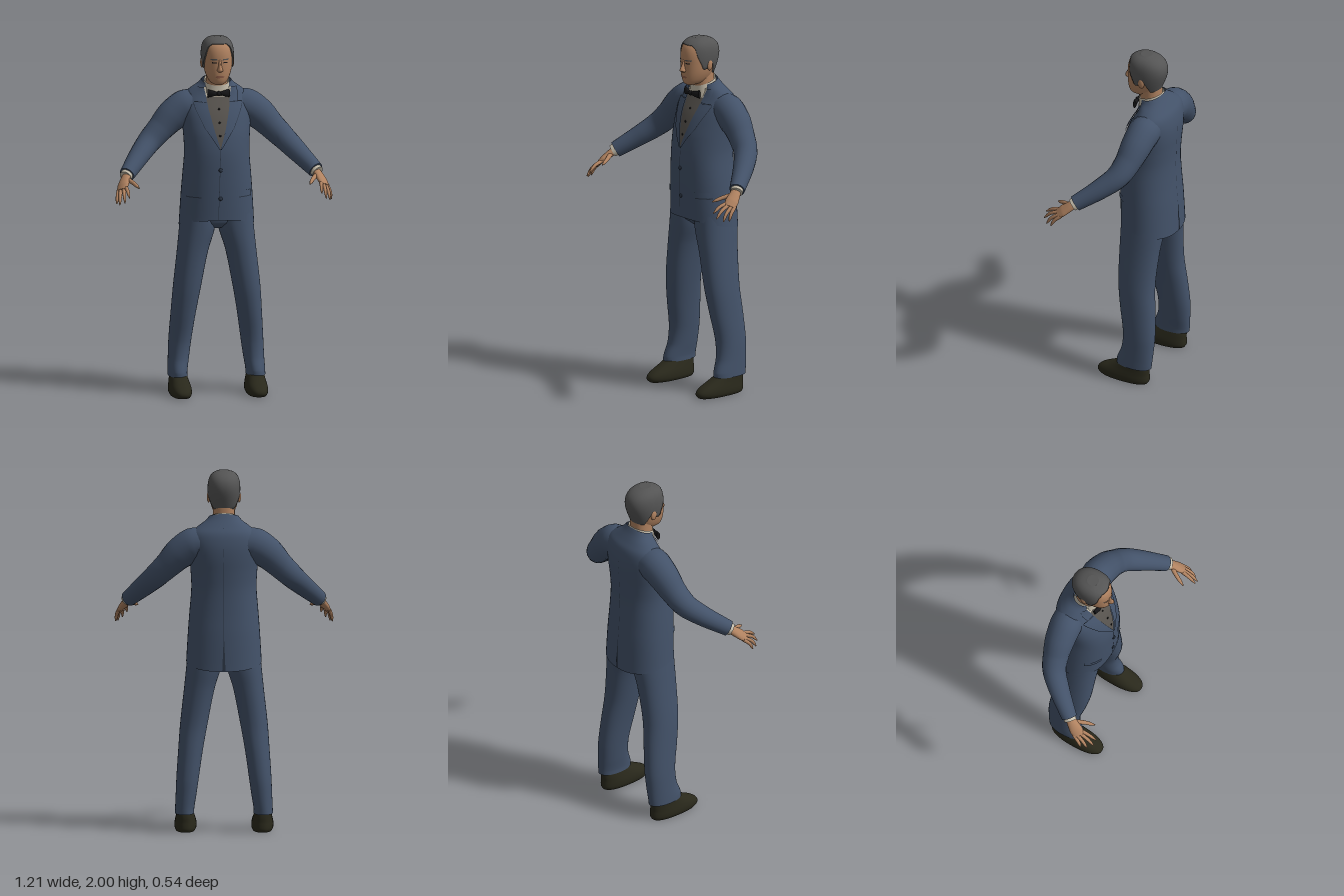
import * as THREE from 'three';

const paint = (name, color) => {
  const m = new THREE.MeshStandardMaterial({ color });
  m.name = name;
  return m;
};
const suit = paint('suit blue', 0x435269);
const seam = paint('seam blue', 0x2c3645);
const skin = paint('skin', 0xb08260);
const hairGrey = paint('hair grey', 0x545454);
const vestGrey = paint('vest grey', 0x58544f);
const linen = paint('shirt linen', 0xc4bcaa);
const black = paint('bow black', 0x151517);
const leather = paint('shoe leather', 0x29281b);
const lipTone = paint('lips', 0x8f5f4a);
const V = (x, y, z) => new THREE.Vector3(x, y, z);

// Smooth grid surface; fn(i, j) gives a point, wrap joins the last column to the first.
function grid(nu, nv, fn, wrap) {
  const pos = [], idx = [], cols = wrap ? nu : nu + 1;
  for (let j = 0; j <= nv; j++) for (let i = 0; i < cols; i++) pos.push(...fn(i, j).toArray());
  for (let j = 0; j < nv; j++) for (let i = 0; i < nu; i++) {
    const k = (i + 1) % cols, a = j * cols, b = a + cols;
    idx.push(a + i, a + k, b + k, a + i, b + k, b + i);
  }
  const g = new THREE.BufferGeometry();
  g.setAttribute('position', new THREE.Float32BufferAttribute(pos, 3));
  g.setIndex(idx);
  g.computeVertexNormals();
  return g;
}

// Body of horizontal rings. Row: [y, centreX, halfWidth, zFront, zBack, frontLift]
function body(rows, n = 2.2) {
  const slope = (i, c) => {
    const a = rows[Math.max(0, i - 1)], b = rows[Math.min(rows.length - 1, i + 1)];
    return ((b[c] ?? 0) - (a[c] ?? 0)) / (b[0] - a[0]);
  };
  const value = (y, c) => {
    y = THREE.MathUtils.clamp(y, rows[0][0], rows.at(-1)[0]);
    let i = 0;
    while (i < rows.length - 2 && y > rows[i + 1][0]) i++;
    const h = rows[i + 1][0] - rows[i][0], t = (y - rows[i][0]) / h, s = 1 - t;
    return (1 + 2 * t) * s * s * (rows[i][c] ?? 0) + t * s * s * h * slope(i, c)
      + t * t * (3 - 2 * t) * (rows[i + 1][c] ?? 0) - t * t * s * h * slope(i + 1, c);
  };
  const bend = (v) => Math.sign(v) * Math.abs(v) ** (2 / n);
  const at = (y, a, off = 0, k = 1) => {
    const f = value(y, 3), b = value(y, 4);
    return V(value(y, 1) + k * (value(y, 2) + off) * bend(Math.sin(a)), y + value(y, 5) * Math.cos(a) * k,
      (f + b) / 2 + k * ((f - b) / 2 + off) * bend(Math.cos(a)));
  };
  // z of the front (side 1) or back (side -1) surface
  const face = (x, y, off, side) => {
    const f = value(y, 3), b = value(y, 4), q = Math.min(1, Math.abs(x / value(y, 2)));
    return (f + b) / 2 + side * ((f - b) / 2 * (1 - q ** n) ** (1 / n) + off);
  };
  const loft = (capped = true, segs = 48) => {
    const rings = [];
    rows.forEach((r, i) => {
      const next = rows[i + 1];
      for (let k = 0; k < (next ? 4 : 1); k++) rings.push([next ? r[0] + (next[0] - r[0]) * k / 4 : r[0], 1]);
    });
    if (capped) {
      rings.unshift([rows[0][0], 0], [rows[0][0], 1]);
      rings.push([rows.at(-1)[0], 1], [rows.at(-1)[0], 0]);
    }
    return grid(segs, rings.length - 1, (i, j) => at(rings[j][0], i / segs * Math.PI * 2, 0, rings[j][1]), true);
  };
  // Thin panel lying on the surface. Row: [y, xStart, xEnd], bottom row first
  const panel = (list, off = 0.004, side = 1) => grid(10, (list.length - 1) * 5, (i, j) => {
    const r = Math.min(list.length - 2, Math.floor(j / 5)), t = j / 5 - r;
    const m = (c) => list[r][c] + (list[r + 1][c] - list[r][c]) * t;
    const x = m(1) + (m(2) - m(1)) * i / 10;
    return V(x, m(0), face(x, m(0), off, side));
  }, false);
  return { at, face, loft, panel };
}

// Tapered tube through points with elliptical radii [wide, thick]
function limb(points, radii, up = V(0, 1, 0), segs = 20) {
  const curve = new THREE.CatmullRomCurve3(points.map((p) => V(...p)));
  const n = (points.length - 1) * 6;
  return grid(segs, n + 4, (i, j) => {
    const t = THREE.MathUtils.clamp((j - 2) / n, 0, 1), k = j === 0 || j === n + 4 ? 0 : 1;
    const f = t * (radii.length - 1), r = Math.min(radii.length - 2, Math.floor(f));
    const rad = (c) => k * THREE.MathUtils.lerp(radii[r][c], radii[r + 1][c], f - r);
    const T = curve.getTangent(t), S = up.clone().cross(T).normalize(), N = T.clone().cross(S);
    const a = i / segs * Math.PI * 2;
    return curve.getPoint(t).addScaledVector(S, rad(0) * Math.cos(a)).addScaledVector(N, rad(1) * Math.sin(a));
  }, true);
}

function mirrored(geometry) {
  const g = geometry.clone().scale(-1, 1, 1), a = g.index.array;
  for (let i = 0; i < a.length; i += 3) [a[i], a[i + 1]] = [a[i + 1], a[i]];
  return g;
}

const ball = (x, y, z, rx, ry, rz) => new THREE.SphereGeometry(1, 20, 14).scale(rx, ry, rz).translate(x, y, z);

export function createModel() {
  const model = new THREE.Group();
  model.name = 'suitedMan';
  const add = (name, geometry, material) => {
    const m = new THREE.Mesh(geometry, material);
    m.name = name;
    model.add(m);
  };
  const pair = (name, geometry, material) => {
    add('left' + name, geometry, material);
    add('right' + name, mirrored(geometry), material);
  };

  // Jacket, longer at the back
  const jacketCloth = suit.clone();
  jacketCloth.side = THREE.DoubleSide;
  const jacket = body([
    [0.945, 0, 0.208, 0.05, -0.27, 0.04], [1.1, 0, 0.199, 0.056, -0.262], [1.22, 0, 0.19, 0.06, -0.254],
    [1.35, 0, 0.18, 0.06, -0.25], [1.45, 0, 0.184, 0.045, -0.255], [1.52, 0, 0.19, 0.023, -0.26],
    [1.58, 0, 0.194, -0.002, -0.26], [1.63, 0, 0.192, -0.03, -0.253], [1.67, 0, 0.175, -0.052, -0.24],
    [1.705, 0, 0.135, -0.062, -0.215], [1.73, 0, 0.1, -0.06, -0.19, -0.01], [1.75, 0, 0.082, -0.055, -0.172, -0.02],
  ]);
  add('jacket', jacket.loft(false), jacketCloth);
  add('vest', jacket.panel([[1.39, -0.002, 0.002], [1.5, -0.034, 0.034], [1.6, -0.058, 0.058], [1.68, -0.07, 0.07]]), vestGrey);
  add('shirtFront', jacket.panel([[1.665, -0.068, 0.068], [1.715, -0.075, 0.075]], 0.006), linen);
  pair('Lapel', jacket.panel([[1.385, 0, 0.006], [1.5, 0.033, 0.08], [1.6, 0.057, 0.125], [1.635, 0.062, 0.135], [1.637, 0.063, 0.1]], 0.009), suit);
  pair('Collar', jacket.panel([[1.64, 0.063, 0.108], [1.68, 0.068, 0.115], [1.715, 0.076, 0.108]], 0.009), suit);
  pair('LapelEdge', jacket.panel([[1.4, 0.008, 0.012], [1.5, 0.079, 0.083], [1.6, 0.124, 0.128], [1.632, 0.134, 0.138]], 0.007), seam);
  pair('CollarNotch', jacket.panel([[1.636, 0.09, 0.135], [1.641, 0.09, 0.13]], 0.0095), seam);
  add('frontEdge', jacket.panel([[0.99, -0.012, -0.009], [1.1, -0.009, -0.006], [1.385, -0.001, 0.002]], 0.003), seam);
  add('backVent', jacket.panel([[0.912, 0.009, -0.009], [1.1, 0.001, -0.001]], 0.003, -1), seam);
  add('backSeam', jacket.panel([[1.1, 0.001, -0.001], [1.7, 0.001, -0.001]], 0.002, -1), seam);
  pair('PocketFlap', jacket.panel([[1.118, 0.105, 0.18], [1.15, 0.102, 0.178]], 0.007), suit);
  pair('PocketEdge', jacket.panel([[1.112, 0.105, 0.18], [1.118, 0.105, 0.18]], 0.006), seam);
  for (const y of [1.11, 1.27]) add('jacketButton', ball(0, y, jacket.face(0, y, 0.003, 1), 0.011, 0.011, 0.006), seam);
  for (const y of [1.46, 1.53, 1.6]) add('vestButton', ball(0, y, jacket.face(0, y, 0.005, 1), 0.006, 0.006, 0.004), black);

  // Trousers
  add('trouserSeat', body([[0.93, 0, 0.06, -0.04, -0.17], [0.97, 0, 0.15, 0.005, -0.225], [1.15, 0, 0.165, 0.02, -0.23]]).loft(), suit);
  pair('TrouserLeg', body([
    [0.1, 0.217, 0.053, -0.006, -0.214], [0.13, 0.216, 0.053, -0.008, -0.217], [0.2, 0.209, 0.057, -0.033, -0.222],
    [0.3, 0.2, 0.062, -0.038, -0.226], [0.45, 0.184, 0.068, -0.012, -0.217], [0.6, 0.165, 0.076, 0.008, -0.205],
    [0.8, 0.134, 0.085, 0.016, -0.215], [0.93, 0.108, 0.098, 0.02, -0.228], [1.05, 0.1, 0.095, 0.02, -0.225],
  ]).loft(), suit);

  // Shoes
  pair('Shoe', body([
    [0, 0.212, 0.053, 0.1, -0.192], [0.015, 0.212, 0.06, 0.114, -0.2], [0.035, 0.212, 0.061, 0.11, -0.2],
    [0.055, 0.212, 0.058, 0.085, -0.198], [0.08, 0.213, 0.052, 0.035, -0.198], [0.105, 0.215, 0.047, -0.01, -0.195],
    [0.13, 0.215, 0.045, -0.03, -0.19],
  ], 2.4).loft(), leather);

  // Sleeves and cuffs
  pair('Sleeve', limb(
    [[0.1, 1.605, -0.145], [0.17, 1.595, -0.142], [0.245, 1.545, -0.135], [0.31, 1.48, -0.122], [0.375, 1.415, -0.095], [0.44, 1.35, -0.025], [0.525, 1.265, 0.09]],
    [[0.085, 0.085], [0.09, 0.095], [0.084, 0.088], [0.073, 0.074], [0.066, 0.066], [0.058, 0.057], [0.043, 0.045]]), suit);
  pair('ShirtCuff', limb([[0.515, 1.275, 0.077], [0.535, 1.256, 0.103]], [[0.035, 0.035], [0.035, 0.034]]), linen);

  // Hands: palm, four fingers and thumb
  const back = V(0.6, 0.73, 0.31);
  pair('Palm', limb([[0.515, 1.275, 0.08], [0.537, 1.245, 0.115], [0.555, 1.215, 0.152], [0.567, 1.193, 0.178]],
    [[0.025, 0.022], [0.03, 0.021], [0.037, 0.018], [0.032, 0.011]], back), skin);
  const fingers = {
    Thumb: [[0.528, 1.245, 0.12], [0.497, 1.228, 0.175], [0.475, 1.21, 0.226]],
    IndexFinger: [[0.543, 1.21, 0.172], [0.539, 1.195, 0.225], [0.535, 1.165, 0.267]],
    MiddleFinger: [[0.555, 1.202, 0.17], [0.559, 1.177, 0.228], [0.56, 1.137, 0.266]],
    RingFinger: [[0.57, 1.195, 0.165], [0.58, 1.162, 0.212], [0.585, 1.122, 0.238]],
    LittleFinger: [[0.58, 1.192, 0.152], [0.592, 1.158, 0.188], [0.597, 1.122, 0.205]],
  };
  for (const [name, path] of Object.entries(fingers)) {
    const r = name === 'Thumb' ? 0.0125 : 0.0105;
    pair(name, limb(path, [[r, r], [r, r], [r * 0.9, r * 0.9], [r * 0.8, r * 0.75], [0.003, 0.003]], back, 12), skin);
  }

  // Neck, shirt collar and bow tie
  add('neck', body([[1.66, 0, 0.064, -0.045, -0.165], [1.74, 0, 0.06, -0.038, -0.16], [1.82, 0, 0.06, -0.03, -0.16]]).loft(), skin);
  const collarCloth = linen.clone();
  collarCloth.side = THREE.DoubleSide;
  add('shirtCollar', body([[1.68, 0, 0.08, -0.032, -0.176, -0.01], [1.72, 0, 0.073, -0.034, -0.17, -0.02], [1.752, 0, 0.068, -0.034, -0.168, -0.024]]).loft(false), collarCloth);
  pair('BowWing', limb([[0.004, 1.686, -0.015], [0.03, 1.687, -0.017], [0.06, 1.687, -0.026]], [[0.008, 0.008], [0.012, 0.016], [0.01, 0.023]]), black);
  add('bowKnot', ball(0, 1.686, -0.014, 0.013, 0.014, 0.014), black);

  // Head
  const head = body([
    [1.738, 0, 0.022, 0.012, -0.06], [1.75, 0, 0.043, 0.028, -0.11], [1.78, 0, 0.062, 0.036, -0.142],
    [1.82, 0, 0.075, 0.038, -0.16], [1.87, 0, 0.082, 0.038, -0.178], [1.91, 0, 0.083, 0.037, -0.185],
    [1.945, 0, 0.078, 0.029, -0.178], [1.97, 0, 0.066, 0.013, -0.158], [1.986, 0, 0.047, -0.013, -0.128], [1.994, 0, 0.024, -0.045, -0.095],
  ]);
  add('head', head.loft(), skin);
  add('nose', body([[1.815, 0, 0.01, 0.045, 0.01], [1.824, 0, 0.017, 0.062, 0.01], [1.836, 0, 0.013, 0.062, 0.01], [1.855, 0, 0.009, 0.052, 0.01], [1.885, 0, 0.009, 0.039, 0.01]], 2).loft(true, 20), skin);
  pair('Ear', ball(0.084, 1.853, -0.08, 0.01, 0.031, 0.019), skin);
  pair('Brow', head.panel([[1.882, 0.014, 0.05], [1.889, 0.016, 0.052]], 0.003), hairGrey);
  pair('Eye', head.panel([[1.865, 0.018, 0.042], [1.871, 0.018, 0.042]], 0.002), black);
  add('lips', head.panel([[1.782, -0.018, 0.018], [1.788, -0.026, 0.026], [1.794, -0.016, 0.016]], 0.003), lipTone);

  // Hair with a receding front, sideburns and a low nape; pairs of [degrees from front, lower edge]
  const hairline = [[0, 1.968], [30, 1.968], [46, 1.95], [56, 1.9], [68, 1.865], [78, 1.83], [92, 1.835], [102, 1.86], [116, 1.83], [130, 1.795], [180, 1.785]];
  const edge = (deg) => {
    let i = 0;
    while (i < hairline.length - 2 && deg > hairline[i + 1][0]) i++;
    const [[a, p], [b, q]] = [hairline[i], hairline[i + 1]];
    return p + (q - p) * (deg - a) / (b - a);
  };
  add('hair', grid(72, 22, (i, j) => {
    const deg = i * 5, low = edge(Math.min(deg, 360 - deg)), t = Math.min(1, Math.max(0, j - 1) / 20);
    const p = head.at(1.994 - (1.994 - low) * (1 - t) ** 2, deg * Math.PI / 180, j === 0 ? -0.004 : 0.007, j === 22 ? 0 : 1);
    p.y += 0.006 * t;
    return p;
  }, true), hairGrey);

  return model;
}
